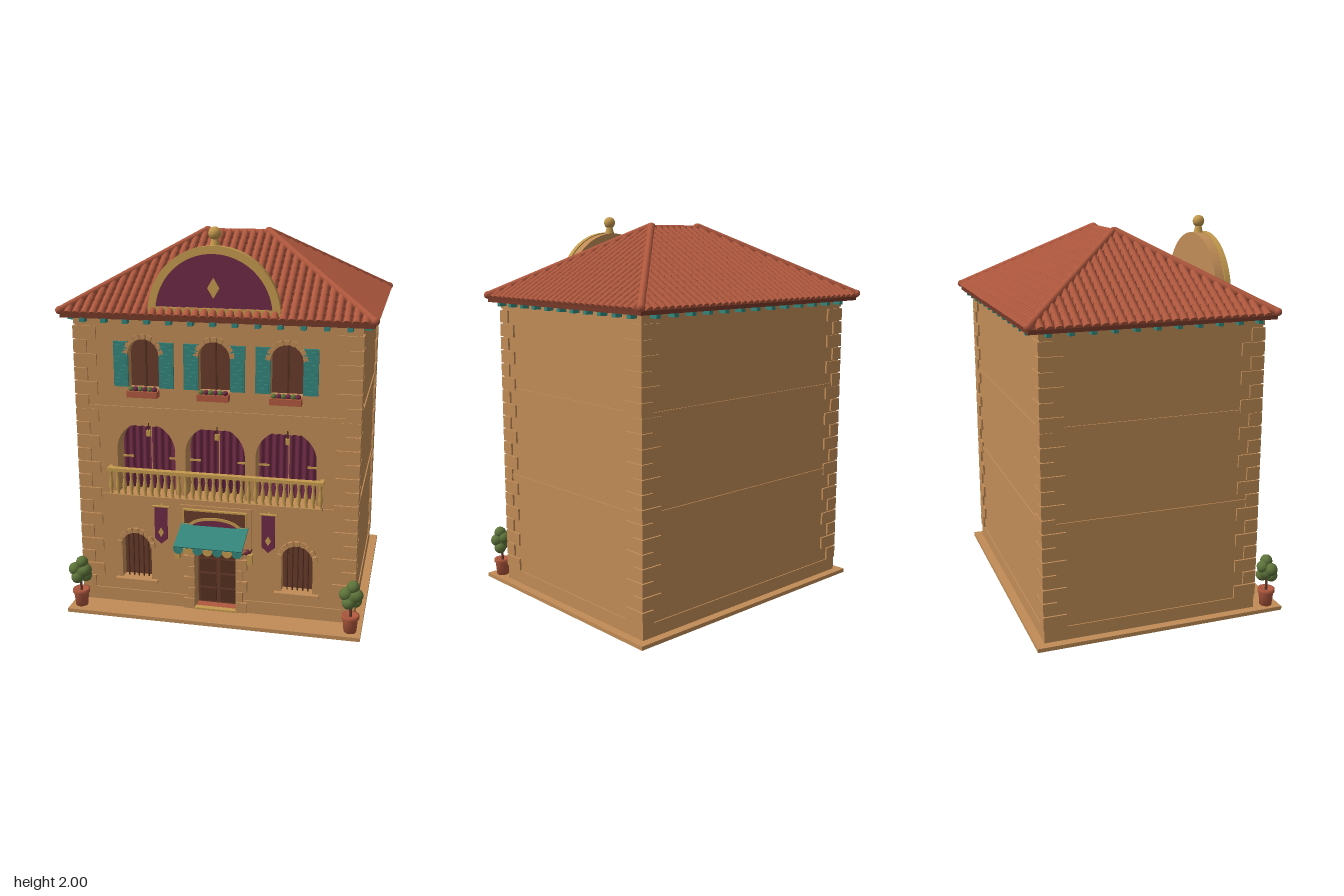
import * as THREE from 'three';
import { mergeGeometries } from 'three/addons/utils/BufferGeometryUtils.js';

const mat = (name, color, side = THREE.FrontSide) => Object.assign(new THREE.MeshStandardMaterial({ color, side }), { name });
const V = (x, y, z) => new THREE.Vector3(x, y, z);

export function createModel() {
  const wall = mat('stucco', 0xc08c56), gold = mat('ochre trim', 0xc59a4e);
  const purple = mat('plum cloth', 0x6e2a45, THREE.DoubleSide), teal = mat('teal paint', 0x34857b);
  const tile = mat('terracotta', 0xb0583e), under = mat('tile shadow', 0x75392a);
  const wood = mat('brown wood', 0x673b2b), dark = mat('dark wood', 0x55301f), green = mat('foliage', 0x5d733a);

  const root = new THREE.Group();
  root.name = 'villa';
  const add = (name, geo, m, x = 0, y = 0, z = 0) => {
    const mesh = new THREE.Mesh(geo, m);
    mesh.name = name;
    mesh.position.set(x, y, z);
    root.add(mesh);
    return mesh;
  };
  // box from its limits
  const box = (name, m, x0, x1, y0, y1, z0, z1) =>
    add(name, new THREE.BoxGeometry(x1 - x0, y1 - y0, z1 - z0), m, (x0 + x1) / 2, (y0 + y1) / 2, (z0 + z1) / 2);
  const rod = (name, m, a, b, r, sides = 8) => {
    const mesh = add(name, new THREE.CylinderGeometry(r, r, a.distanceTo(b), sides), m);
    mesh.position.copy(a).lerp(b, 0.5);
    mesh.quaternion.setFromUnitVectors(V(0, 1, 0), b.clone().sub(a).normalize());
    return mesh;
  };
  const ball = (name, m, r, x, y, z) => add(name, new THREE.SphereGeometry(r, 14, 10), m, x, y, z);
  const plate = (name, shape, m, x, y, z, depth = 0.006) =>
    add(name, new THREE.ExtrudeGeometry(shape, { depth, bevelEnabled: false, curveSegments: 20 }), m, x, y, z);
  const poly = pts => new THREE.Shape(pts.map(p => new THREE.Vector2(...p)));
  const diamond = (w, h) => poly([[0, -h], [w, 0], [0, h], [-w, 0]]);
  const arch = (C, cx, hw, y0, spring, top) => {
    const s = new C();
    s.moveTo(cx - hw, y0);
    s.lineTo(cx + hw, y0);
    s.lineTo(cx + hw, spring);
    s.absellipse(cx, spring, hw, top - spring, 0, Math.PI, false);
    s.closePath();
    return s;
  };
  const F = 0.51, B = -0.61, X = 0.715, bays = [-0.36, 0, 0.36];

  // plinth, body and pierced front wall
  box('base', wall, -0.765, 0.765, 0, 0.02, -0.66, 0.66);
  box('body', wall, -X, X, 0.02, 1.54, B, 0.4);
  const front = poly([[-X, 0.02], [-0.11, 0.02], [-0.11, 0.37], [0.11, 0.37], [0.11, 0.02], [X, 0.02], [X, 1.54], [-X, 1.54]]);
  const upper = x => [x, 0.08, 1.2, 1.37, 1.45];
  const loggia = x => [x, 0.153, 0.635, 0.87, 1.02];
  const lower = x => [x, 0.08, 0.16, 0.34, 0.42];
  for (const x of bays) front.holes.push(arch(THREE.Path, ...upper(x)), arch(THREE.Path, ...loggia(x)));
  for (const x of [-0.425, 0.425]) front.holes.push(arch(THREE.Path, ...lower(x)));
  plate('frontWall', front, wall, 0, 0, 0.4, F - 0.4);
  for (const [y0, y1] of [[0.6, 0.628], [1.075, 1.1], [1.515, 1.545]])
    box('stringCourse', wall, -X - 0.006, X + 0.006, y0, y1, B - 0.006, F + 0.007);
  box('plinth', wall, -X - 0.006, X + 0.006, 0.02, 0.09, B - 0.006, 0.39);
  for (const s of [-1, 1]) {
    const e = [s * 0.15, s * (X + 0.006)].sort((a, b) => a - b);
    box('frontPlinth', wall, e[0], e[1], 0.02, 0.09, 0.39, F + 0.006);
  }

  // corner stones
  for (const sx of [-1, 1]) for (const sz of [-1, 1]) for (let i = 0; i < 20; i++) {
    const a = i % 2 ? 0.12 : 0.07, b = i % 2 ? 0.07 : 0.12;
    const cx = sx * (X + 0.01), cz = sz > 0 ? F + 0.01 : B - 0.01;
    box('quoin', wall, Math.min(cx, cx - sx * a), Math.max(cx, cx - sx * a), 0.092 + i * 0.071, 0.156 + i * 0.071,
      Math.min(cz, cz - sz * b), Math.max(cz, cz - sz * b));
  }

  // arched stone surround
  const voussoirs = (cx, cy, r) => {
    for (let i = 0; i < 9; i++) {
      const a = (i + 0.5) * Math.PI / 9;
      const m = add('archStone', new THREE.BoxGeometry(0.024, r * 0.32, 0.02), wall, cx + Math.cos(a) * (r + 0.012), cy + Math.sin(a) * (r + 0.012), F + 0.006);
      m.rotation.z = a;
    }
  };

  // top floor windows with shutters and flower boxes
  for (const x of bays) {
    plate('upperWindow', arch(THREE.Shape, ...upper(x)), wood, 0, 0, 0.46);
    box('mullion', dark, x - 0.004, x + 0.004, 1.2, 1.45, 0.466, 0.474);
    voussoirs(x, 1.37, 0.08);
    for (const s of [-1, 1]) {
      const c = x + s * 0.117;
      box('shutter', teal, c - 0.037, c + 0.037, 1.205, 1.435, F, F + 0.012);
      for (let i = 0; i < 10; i++) box('slat', teal, c - 0.028, c + 0.028, 1.22 + i * 0.021, 1.231 + i * 0.021, F + 0.012, F + 0.016);
    }
    box('flowerBox', tile, x - 0.078, x + 0.078, 1.16, 1.192, F, F + 0.05);
    for (let i = 0; i < 6; i++) ball('flower', i % 2 ? purple : green, 0.014, x - 0.06 + i * 0.024, 1.2, F + 0.027);
  }

  // loggia: curtains, ties and lanterns
  for (const x of bays) {
    for (const s of [-1, 1]) {
      const g = new THREE.PlaneGeometry(0.15, 0.335, 24, 1), p = g.attributes.position;
      for (let i = 0; i < p.count; i++) p.setZ(i, 0.006 * Math.sin(p.getX(i) * 170));
      g.computeVertexNormals();
      add('curtain', g, purple, x + s * 0.077, 0.803, 0.41);
      box('curtainTie', gold, x + s * 0.125 - 0.028, x + s * 0.125 + 0.028, 0.802, 0.812, 0.415, 0.421);
    }
    rod('lanternChain', dark, V(x, 1.02, 0.46), V(x, 0.96, 0.46), 0.003);
    box('lantern', gold, x - 0.01, x + 0.01, 0.935, 0.965, 0.45, 0.47);
  }

  // balcony
  box('balconySlab', wall, -0.55, 0.55, 0.622, 0.642, F, 0.56);
  box('balconyRail', gold, -0.555, 0.555, 0.765, 0.782, 0.53, 0.562);
  const baluster = new THREE.LatheGeometry([[0.011, 0], [0.007, 0.015], [0.013, 0.045], [0.006, 0.09], [0.011, 0.124]].map(p => new THREE.Vector2(...p)), 8);
  for (let i = 0; i < 31; i++) add('baluster', baluster, gold, -0.54 + i * 0.036, 0.642, 0.545);
  for (const s of [-1, 1]) box('railReturn', gold, s * 0.545 - 0.01, s * 0.545 + 0.01, 0.765, 0.782, F, 0.54);

  // ground floor windows
  for (const x of [-0.425, 0.425]) {
    plate('lowerWindow', arch(THREE.Shape, ...lower(x)), wood, 0, 0, 0.45);
    for (let i = -2; i <= 2; i++) rod('windowBar', dark, V(x + i * 0.027, 0.16, 0.48), V(x + i * 0.027, 0.415 - i * i * 0.007, 0.48), 0.004, 6);
    voussoirs(x, 0.34, 0.08);
    box('sill', wall, x - 0.115, x + 0.115, 0.145, 0.16, F, F + 0.025);
  }

  // doorway
  box('door', wood, -0.11, 0.11, 0.02, 0.37, 0.4, 0.44);
  for (const s of [-1, 1]) for (let i = 0; i < 4; i++) {
    const c = s * 0.055;
    box('doorPanel', dark, c - 0.044, c + 0.044, 0.035 + i * 0.083, 0.107 + i * 0.083, 0.44, 0.447);
  }
  box('doorFloor', tile, -0.11, 0.11, 0.02, 0.024, 0.44, F);
  box('threshold', gold, -0.11, 0.11, 0.02, 0.03, 0.5, 0.53);
  for (const s of [-1, 1]) for (let i = 0; i < 6; i++) {
    const w = i % 2 ? 0.035 : 0.058, c = s * (0.11 + w / 2);
    box('jambStone', wall, c - w / 2, c + w / 2, 0.022 + i * 0.06, 0.078 + i * 0.06, F, F + 0.018);
  }
  box('lintel', wall, -0.188, 0.188, 0.375, 0.595, F, F + 0.008);
  box('signBoard', wood, -0.16, 0.16, 0.49, 0.572, F + 0.008, F + 0.016);
  for (const y of [0.574, 0.494]) box('signTrim', gold, -0.168, 0.168, y - 0.004, y + 0.004, F + 0.008, F + 0.022);
  for (const s of [-1, 1]) box('signTrim', gold, s * 0.164 - 0.004, s * 0.164 + 0.004, 0.49, 0.578, F + 0.008, F + 0.022);
  plate('lunetteRim', arch(THREE.Shape, 0, 0.14, 0.475, 0.48, 0.54), gold, 0, 0, F + 0.016);
  plate('lunette', arch(THREE.Shape, 0, 0.122, 0.475, 0.48, 0.526), purple, 0, 0, F + 0.02);

  // awning with scalloped edge
  const awning = add('awning', new THREE.BoxGeometry(0.35, 0.008, 0.18), teal, 0, 0.466, 0.602);
  awning.rotation.x = 0.36;
  for (let i = 0; i < 7; i++) {
    const s = new THREE.Shape();
    s.absarc(0, 0, 0.025, Math.PI, Math.PI * 2, false);
    s.lineTo(0.025, 0.008);
    s.lineTo(-0.025, 0.008);
    plate('scallop', s, i % 2 ? gold : teal, -0.15 + i * 0.05, 0.424, 0.682);
  }
  for (const s of [-1, 1]) {
    rod('awningStrut', gold, V(s * 0.17, 0.37, F), V(s * 0.17, 0.43, 0.685), 0.003, 6);
    // side lamps and hanging flowers
    rod('lampArm', dark, V(s * 0.19, 0.375, F), V(s * 0.19, 0.375, 0.555), 0.004, 6);
    box('lamp', gold, s * 0.19 - 0.013, s * 0.19 + 0.013, 0.315, 0.368, 0.54, 0.566);
    for (const d of [-0.011, 0.011]) ball('hangingFlower', d > 0 ? purple : tile, 0.016, s * 0.16 + d, 0.372, 0.54);
    // banners
    rod('bannerRod', gold, V(s * 0.28 - 0.045, 0.585, 0.54), V(s * 0.28 + 0.045, 0.585, 0.54), 0.006);
    rod('bannerBracket', gold, V(s * 0.28, 0.585, F), V(s * 0.28, 0.585, 0.54), 0.005);
    plate('banner', poly([[-0.034, 0.41], [0, 0.38], [0.034, 0.41], [0.034, 0.585], [-0.034, 0.585]]), purple, s * 0.28, 0, 0.536);
    plate('bannerDiamond', diamond(0.015, 0.026), gold, s * 0.28, 0.445, 0.542, 0.003);
    // potted trees
    const px = s * 0.71, pz = 0.595;
    add('pot', new THREE.LatheGeometry([[0, 0], [0.032, 0], [0.039, 0.07], [0.045, 0.072], [0.045, 0.09], [0.036, 0.09], [0, 0.08]].map(p => new THREE.Vector2(...p)), 18), tile, px, 0.02, pz);
    rod('trunk', wood, V(px, 0.1, pz), V(px, 0.18, pz), 0.007);
    for (const [x, y, z, r] of [[0, 0.205, 0, 0.042], [-0.026, 0.225, 0.01, 0.034], [0.028, 0.22, 0.005, 0.034], [0.01, 0.262, 0, 0.032], [-0.01, 0.185, 0.02, 0.034], [0.022, 0.18, -0.015, 0.032], [0, 0.235, -0.025, 0.032]])
      ball('foliage', green, r, px + x, y, pz + z);
  }

  // hipped roof core
  const rz = -0.06, ex = 0.775, ez = 0.615, ey = 1.572, ry = 1.93, rx = 0.165;
  const c = [V(-ex, ey, rz + ez), V(ex, ey, rz + ez), V(ex, ey, rz - ez), V(-ex, ey, rz - ez)];
  const rl = V(-rx, ry, rz), rr = V(rx, ry, rz);
  const tris = [c[0], c[1], rr, c[0], rr, rl, c[1], c[2], rr, c[2], c[3], rl, c[2], rl, rr, c[3], c[0], rl];
  const core = new THREE.BufferGeometry().setFromPoints(tris);
  core.computeVertexNormals();
  add('roofCore', core, under);
  box('eaves', under, -ex, ex, 1.55, ey, rz - ez, rz + ez);

  // barrel tiles, row by row on each slope
  const tiles = [], rows = 14;
  const slope = (a, b, topHalf, top) => {
    const mid = a.clone().lerp(b, 0.5), u = b.clone().sub(a).normalize(), up = top.clone().sub(mid);
    const v = up.clone().normalize(), n = u.clone().cross(v), len = up.length() / rows, half = a.distanceTo(b) / 2;
    for (let r = 0; r < rows; r++) {
      const t = (r + 0.5) / rows, w = half + (topHalf - half) * t;
      const k = Math.floor((w - 0.01) / 0.043);
      for (let i = -k; i <= k; i++) {
        const g = new THREE.CylinderGeometry(0.016, 0.021, len * 1.15, 6, 1, false, -Math.PI / 2, Math.PI);
        g.rotateX(0.1);
        const o = mid.clone().addScaledVector(u, i * 0.043).addScaledVector(v, (r + 0.45) * len).addScaledVector(n, 0.004);
        tiles.push(g.applyMatrix4(new THREE.Matrix4().makeBasis(u, v, n).setPosition(o)));
      }
    }
  };
  slope(c[0], c[1], rx, V(0, ry, rz));
  slope(c[2], c[3], rx, V(0, ry, rz));
  slope(c[1], c[2], 0, rr);
  slope(c[3], c[0], 0, rl);
  add('roofTiles', mergeGeometries(tiles), tile);

  // ridge and hip caps
  c.forEach((p, i) => {
    const top = i === 0 || i === 3 ? rl : rr, lift = V(0, 0.014, 0);
    rod('hipCap', tile, p.clone().add(lift), top.clone().add(lift), 0.018, 10);
    ball('hipEnd', tile, 0.02, p.x, p.y + 0.014, p.z);
  });
  rod('ridgeCap', tile, rl, rr, 0.02, 10);
  for (const p of [rl, rr]) ball('ridgeEnd', tile, 0.024, p.x, p.y + 0.006, p.z);

  // teal brackets under the eaves
  for (let i = -6; i <= 6; i++) for (const z of [F + 0.025, B - 0.03])
    box('bracket', teal, i * 0.11 - 0.013, i * 0.11 + 0.013, 1.53, 1.552, z - 0.022, z + 0.022);
  for (let i = -5; i <= 5; i++) for (const x of [-0.738, 0.738])
    box('bracket', teal, x - 0.022, x + 0.022, 1.53, 1.552, rz + 0.01 + i * 0.105 - 0.013, rz + 0.01 + i * 0.105 + 0.013);

  // roof pediment
  const half = (r, inner) => {
    const s = new THREE.Shape();
    s.absarc(0, 0, r, 0, Math.PI, false);
    if (inner) s.absarc(0, 0, inner, Math.PI, 0, true);
    return s;
  };
  plate('pediment', half(0.318), wall, 0, 1.59, 0.45, 0.065);
  plate('pedimentRim', half(0.328, 0.29), gold, 0, 1.585, 0.5, 0.03);
  plate('pedimentField', half(0.292), purple, 0, 1.585, 0.513);
  box('pedimentSill', gold, -0.328, 0.328, 1.585, 1.615, 0.48, 0.53);
  plate('pedimentDiamond', diamond(0.03, 0.05), gold, 0, 1.712, 0.519);
  add('finialNeck', new THREE.CylinderGeometry(0.016, 0.026, 0.04, 14), gold, 0, 1.925, 0.485);
  ball('finial', gold, 0.032, 0, 1.968, 0.485);
  return root;
}
